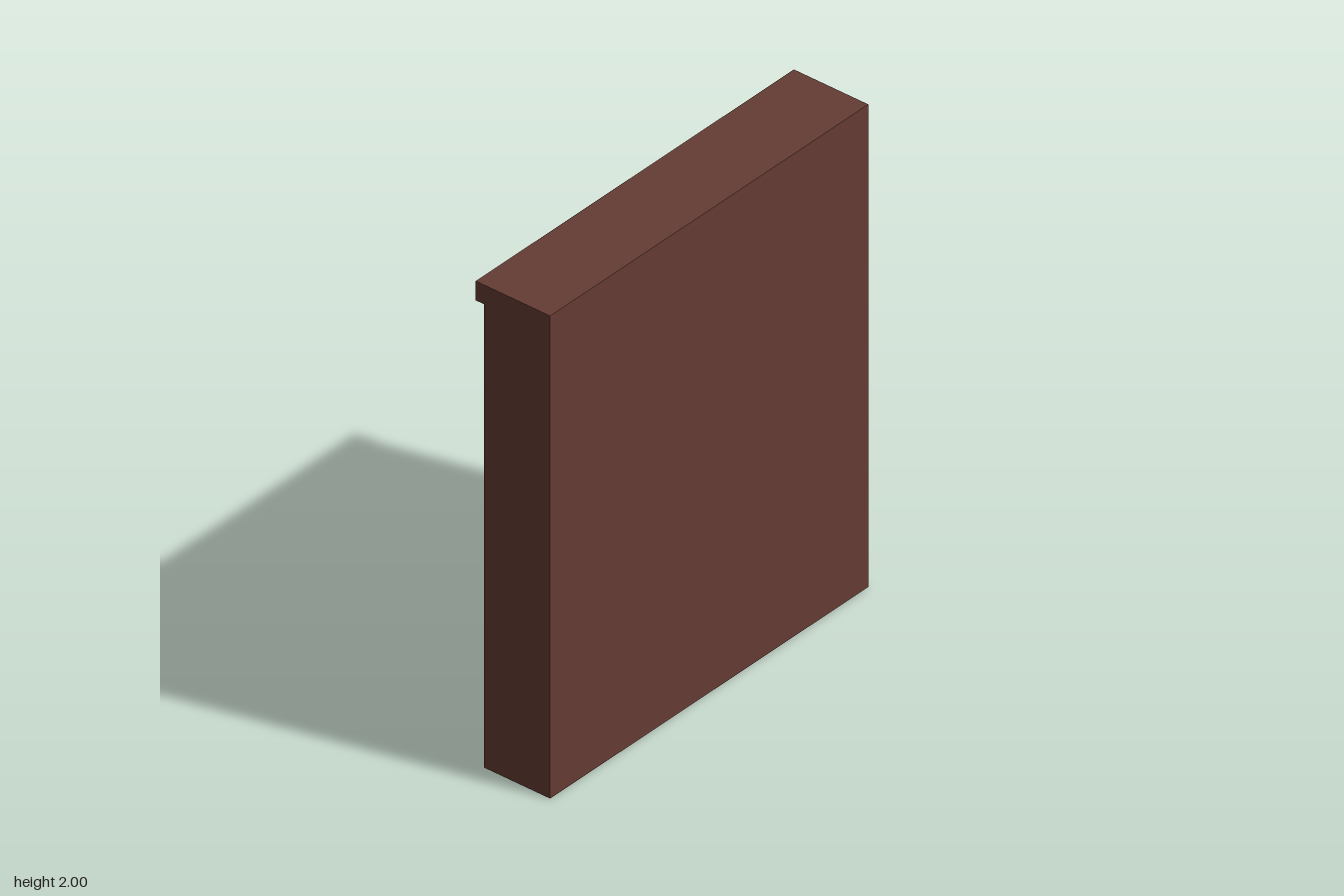
import * as THREE from 'three';

const mat = (name, color) => {
  const m = new THREE.MeshStandardMaterial({ color });
  m.name = name;
  return m;
};

export function createModel() {
  const wood = mat('brown wood', 0x653c34);
  const base = mat('dark plinth wood', 0x4a3b30);
  const paper = mat('paper', 0xb0acae);
  const covers = {
    R: mat('red cover', 0xac3622),
    G: mat('green cover', 0x2f5433),
    P: mat('purple cover', 0x673458),
    B: mat('blue cover', 0x344860),
  };

  const model = new THREE.Group();
  model.name = 'bookcase';

  // box given by its minimum and maximum corners
  const box = (parent, name, material, [x0, y0, z0], [x1, y1, z1]) => {
    const g = new THREE.BoxGeometry(x1 - x0, y1 - y0, z1 - z0);
    g.translate((x0 + x1) / 2, (y0 + y1) / 2, (z0 + z1) / 2);
    const m = new THREE.Mesh(g, material);
    m.name = name;
    parent.add(m);
    return m;
  };

  // carcass, open towards -z
  const IN = 0.735, OUT = 0.85, BACK = 0.08;
  box(model, 'cornice', wood, [-OUT, 1.92, -0.167], [OUT, 2, 0.167]);
  box(model, 'leftPost', wood, [IN, 0, -0.13], [OUT, 1.92, 0.167]);
  box(model, 'rightPost', wood, [-OUT, 0, -0.13], [-IN, 1.92, 0.167]);
  box(model, 'backPanel', wood, [-IN, 0.145, BACK], [IN, 1.92, 0.167]);
  box(model, 'lowerPanel', wood, [-IN, 0, 0.16], [IN, 0.145, 0.167]);
  box(model, 'plinth', base, [-IN, 0, 0.01], [IN, 0.145, 0.16]);
  box(model, 'bottomBoard', wood, [-IN, 0.145, -0.13], [IN, 0.255, BACK]);
  const shelfTops = [1.61, 1.158, 0.707, 0.255];
  shelfTops.slice(0, 3).forEach((y) =>
    box(model, 'shelf', wood, [-IN, y - 0.11, -0.075], [IN, y, BACK]));

  // a standing book: two boards, a spine at -z and an inset page block
  const makeBook = (color, w, h, d) => {
    const book = new THREE.Group();
    book.name = 'book';
    const c = covers[color], t = 0.008, k = w / 2;
    box(book, 'spine', c, [-k, 0, 0], [k, h, t]);
    box(book, 'coverLeft', c, [k - t, 0, t], [k, h, d]);
    box(book, 'coverRight', c, [-k, 0, t], [-k + t, h, d]);
    box(book, 'pages', paper, [-k + t, 0.006, t], [k - t, h - 0.006, d - 0.006]);
    return book;
  };

  // rows: colour, distance of the foot from the +x post, lean in degrees (+ leans to +x)
  const rows = [
    [['P', 0.08, 8], ['P', 0.17, 7], ['B', 0.29, 11], ['P', 0.39, 15], ['R', 0.54, 20],
      ['G', 0.64, 0], ['G', 0.72, 0], ['P', 0.81, 0], ['B', 0.92, 4], ['B', 1.0, 1],
      ['B', 1.08, 0], ['B', 1.16, 0], ['G', 1.265, 6], ['R', 1.38, 10]],
    [['G', 0.045, 0], ['R', 0.165, 9], ['G', 0.6, -15], ['B', 0.74, 5], ['P', 0.825, 4],
      ['R', 0.92, 5], ['G', 1.0, 0], ['P', 1.085, 3], ['B', 1.165, -4], ['P', 1.26, 0],
      ['P', 1.34, 0], ['P', 1.42, 0]],
    [['P', 0.05, 0], ['R', 0.13, 0], ['G', 0.21, 0], ['G', 0.29, 0], ['P', 0.37, 0],
      ['B', 0.475, 6], ['R', 0.56, -16], ['B', 0.73, 9], ['P', 0.815, 3], ['B', 0.905, 6],
      ['B', 0.985, 4], ['G', 1.055, -6], ['B', 1.135, 0], ['G', 1.21, 0], ['G', 1.285, 0],
      ['R', 1.36, 0], ['B', 1.43, 0]],
    [['R', 0.05, -26], ['P', 0.155, -20], ['R', 0.28, -6], ['R', 0.375, -5], ['P', 0.505, 5],
      ['G', 0.585, 0], ['G', 0.665, 0], ['P', 0.755, 3], ['B', 0.88, 7], ['G', 0.975, 2],
      ['G', 1.055, 0]],
  ];
  rows.forEach((row, r) => row.forEach(([color, u, lean], i) => {
    const w = 0.074, h = 0.302 + 0.003 * ((i * 3 + r) % 3);
    const front = -0.138 - 0.005 * ((i * 2 + r) % 3);
    const book = makeBook(color, w, h, 0.2);
    // tilt about the lower corner so the book rests on the shelf
    const side = Math.sign(lean) * w / 2;
    book.children.forEach((m) => m.geometry.translate(-side, 0, 0));
    book.position.set(IN - u + side, shelfTops[r], front);
    book.rotation.z = -THREE.MathUtils.degToRad(lean);
    model.add(book);
  }));

  // stacks of three books lying flat, spines outwards
  const addStack = (u, y) => {
    const stack = new THREE.Group();
    stack.name = 'bookStack';
    ['P', 'B', 'R'].forEach((color, i) => {
      const book = makeBook(color, 0.08, 0.315, 0.19);
      book.rotation.z = Math.PI / 2;
      book.position.set(IN - u, y + 0.041 + i * 0.081, -0.143 - 0.004 * (i % 2));
      stack.add(book);
    });
    model.add(stack);
  };
  addStack(0.235, shelfTops[1]);
  addStack(1.135, shelfTops[3]);
  // rotation lays each book from its foot towards -x

  return model;
}
